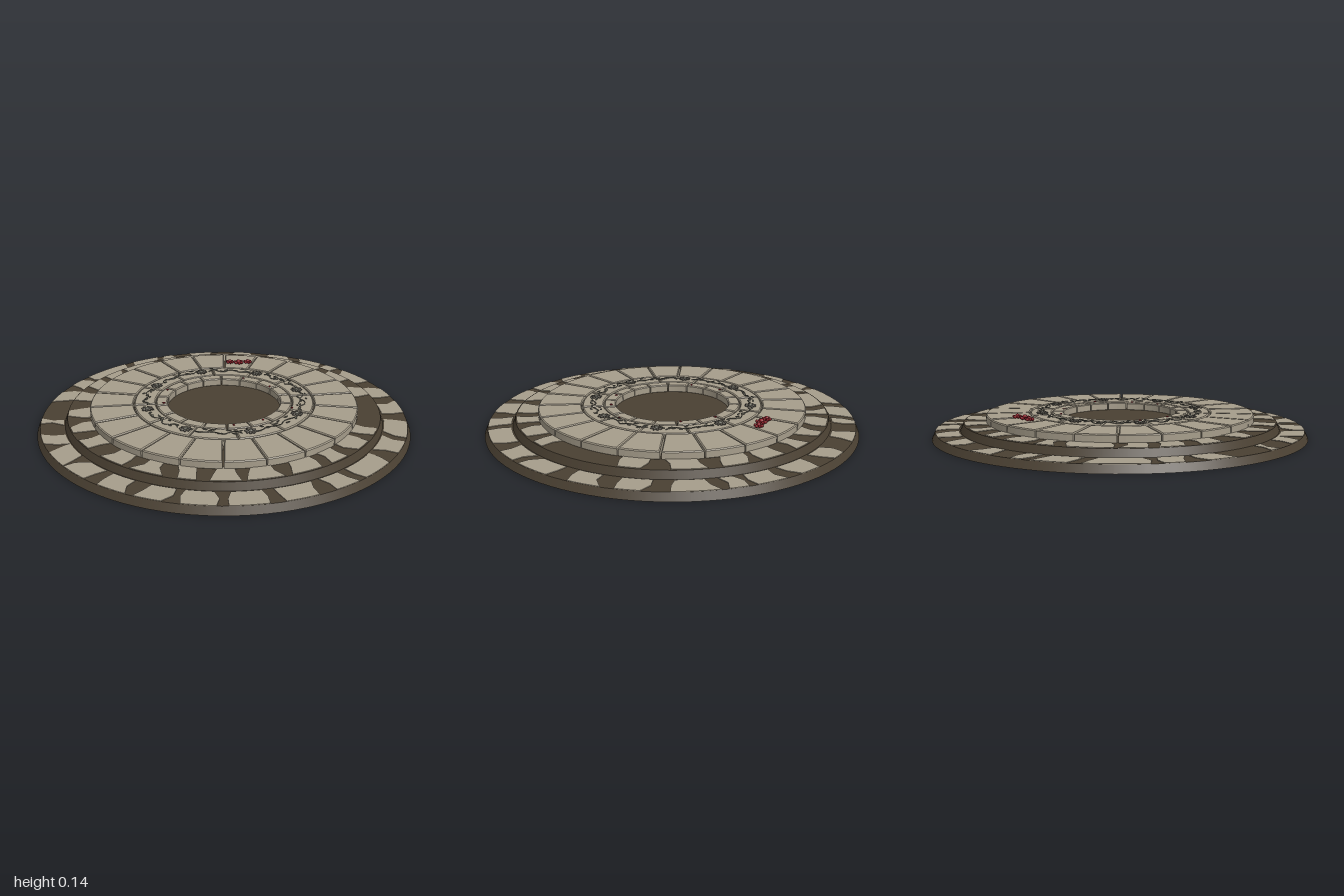
import * as THREE from 'three';

const mat = (name, color) => {
  const m = new THREE.MeshStandardMaterial({ color });
  m.name = name;
  return m;
};
const DEG = Math.PI / 180;

// Small seeded generator for worn, irregular edges
function seeded(seed) {
  let s = seed;
  return () => ((s = (s * 16807) % 2147483647) / 2147483647);
}

// Points of an arc, angles in degrees running from +x towards +z
function arc(r, a0, a1, n = 6) {
  return Array.from({ length: n + 1 }, (_, i) => {
    const a = (a0 + ((a1 - a0) * i) / n) * DEG;
    return new THREE.Vector2(r * Math.cos(a), r * Math.sin(a));
  });
}

// Flat outline in x/z, extruded downward from the height "top"
function slab(points, top, height, bevel = 0) {
  const g = new THREE.ExtrudeGeometry(new THREE.Shape(points), {
    depth: height - 2 * bevel, bevelEnabled: bevel > 0, bevelThickness: bevel,
    bevelSize: bevel, bevelOffset: -bevel, bevelSegments: 1,
  });
  return g.rotateX(Math.PI / 2).translate(0, top - bevel, 0);
}

export function createModel() {
  const root = new THREE.Group();
  root.name = 'roundDais';
  const stone = mat('pale stone', 0xa69d8b);
  const earth = mat('dark earth', 0x4a4032);
  const vine = mat('grey green vine', 0x77766a);
  const knot = mat('dark knot', 0x5f5b53);
  const red = mat('deep red', 0x8a1a24);
  const rnd = seeded(4711);

  const group = (name) => {
    const g = new THREE.Group();
    g.name = name;
    root.add(g);
    return g;
  };
  const add = (parent, name, geo, material) => {
    const m = new THREE.Mesh(geo, material);
    m.name = name;
    parent.add(m);
    return m;
  };

  // Two sloping earth steps
  const step = (name, rTop, rBottom, y0, y1) =>
    add(root, name, new THREE.CylinderGeometry(rTop, rBottom, y1 - y0, 96).translate(0, (y0 + y1) / 2, 0), earth);
  step('lowerStep', 0.982, 1, 0, 0.038);
  step('upperStep', 0.838, 0.853, 0.038, 0.077);

  // Broken paving left on each step: start and end angle of every piece
  const paving = (name, spans, r0, r1, top) => {
    const g = group(name);
    for (const [a, b] of spans) {
      const j = () => (rnd() - 0.5) * 7;
      const s = j(), e = j();
      const mid = (r0 + r1) / 2;
      const outer = arc(r1, a + s * 0.5, b + e * 0.5, 4);
      const inner = arc(r0, a - s * 0.5, b - e * 0.5, 4).reverse();
      const chipB = arc(mid, b + (rnd() - 0.5) * 3, b, 1)[0];
      const chipA = arc(mid, a + (rnd() - 0.5) * 3, a, 1)[0];
      add(g, 'pavingPiece', slab([...outer, chipB, ...inner, chipA], top, 0.005), stone);
    }
  };
  paving('lowerPaving', [
    [1, 12], [19, 27], [32, 41], [47, 58], [61, 71], [76, 89], [92, 100], [104, 115], [119, 129],
    [133, 142], [146, 154], [158, 167], [171, 180], [183, 193], [196, 203], [211, 215], [231, 239],
    [243, 250], [254, 269], [273, 283], [286, 290], [298, 305], [315, 322], [328, 337], [341, 350], [353, 358],
  ], 0.86, 0.981, 0.041);
  paving('upperPaving', [
    [2, 14], [21, 30], [60, 67], [71, 80], [85, 93], [97, 107], [112, 122], [126, 134], [140, 147],
    [152, 161], [166, 175], [182, 191], [196, 203], [210, 218], [226, 235], [240, 248], [252, 260],
    [264, 279], [283, 289], [293, 301], [306, 314], [320, 327], [333, 342], [346, 355],
  ], 0.70, 0.832, 0.08);

  // Rings of bevelled wedge stones
  const ring = (name, count, r0, r1, top, gap, offset) => {
    const g = group(name);
    const w = 360 / count;
    for (let i = 0; i < count; i++) {
      const a = offset + i * w, b = a + w;
      const go = gap / r1 / DEG / 2, gi = gap / r0 / DEG / 2;
      const pts = [...arc(r1, a + go, b - go), ...arc(r0, a + gi, b - gi).reverse()];
      add(g, 'wedgeStone', slab(pts, top - rnd() * 0.002, top - 0.074, 0.005), stone);
    }
  };
  ring('outerStones', 22, 0.488, 0.718, 0.118, 0.007, 0);
  ring('middleStones', 12, 0.37, 0.483, 0.118, 0.006, 2);
  ring('innerCurb', 18, 0.305, 0.366, 0.118, 0.006, 8);

  // Leafy vines between eight knots
  const leafGeo = new THREE.SphereGeometry(1, 6, 4).scale(0.015, 0.003, 0.006);
  const vines = group('vineGarland');
  const knots = group('garlandKnots');
  for (let k = 0; k < 8; k++) {
    const c = 22.5 + k * 45;
    const at = (deg, r, y) => new THREE.Vector3(r * Math.cos(deg * DEG), y, r * Math.sin(deg * DEG));
    const path = Array.from({ length: 9 }, (_, i) =>
      at(c + 6 + i * 4.1, 0.425 + 0.014 * Math.sin(i * 1.7 + k), 0.121 + 0.004 * Math.sin(i * 2)));
    add(vines, 'stem', new THREE.TubeGeometry(new THREE.CatmullRomCurve3(path), 24, 0.0025, 5), vine);
    for (let i = 0; i < 9; i++) {
      const d = c + 7 + i * 4 + rnd() * 2;
      const leaf = add(vines, 'leaf', leafGeo, vine);
      leaf.position.copy(at(d, 0.425 + (rnd() - 0.5) * 0.05, 0.124 + rnd() * 0.006));
      leaf.rotation.set(0, -(d + 90) * DEG + (rnd() - 0.5) * 1.2, (rnd() - 0.5) * 0.5);
    }
    const rosette = new THREE.Group();
    rosette.name = 'rosette';
    rosette.position.copy(at(c, 0.425, 0.122));
    knots.add(rosette);
    add(rosette, 'rosetteCentre', new THREE.SphereGeometry(0.012, 8, 6).scale(1, 0.8, 1), vine);
    for (let p = 0; p < 8; p++) {
      const petal = add(rosette, 'rosettePetal', new THREE.SphereGeometry(1, 6, 4).scale(0.013, 0.006, 0.008), knot);
      petal.position.set(0.02 * Math.cos(p * 45 * DEG), 0, 0.02 * Math.sin(p * 45 * DEG));
      petal.rotation.y = -p * 45 * DEG;
    }
  }

  // Three red blossoms on the outer stones
  const blossoms = group('blossoms');
  for (const [x, z, r] of [[0.395, -0.405, 0.024], [0.43, -0.365, 0.03], [0.478, -0.335, 0.025]]) {
    const b = new THREE.Group();
    b.name = 'blossom';
    b.position.set(x, 0.122, z);
    blossoms.add(b);
    add(b, 'blossomHeart', new THREE.SphereGeometry(r * 0.45, 8, 6).translate(0, 0.008, 0), red);
    for (let p = 0; p < 6; p++) {
      const petal = add(b, 'petal', new THREE.SphereGeometry(1, 7, 5).scale(r * 0.42, 0.008, r * 0.3), red);
      petal.position.set(r * 0.65 * Math.cos(p * 60 * DEG), 0.004, r * 0.65 * Math.sin(p * 60 * DEG));
      petal.rotation.set(0, -p * 60 * DEG, 0.35);
    }
  }

  // Fallen petals on the curb
  const fallen = group('fallenPetals');
  for (const [x, z] of [[0.318, 0.025], [0.2, 0.32], [-0.02, 0.33], [-0.175, 0.28], [-0.15, -0.31], [-0.275, -0.175], [0.29, -0.165]]) {
    const p = add(fallen, 'fallenPetal', new THREE.SphereGeometry(1, 6, 4).scale(0.009, 0.003, 0.006), red);
    p.position.set(x, 0.119, z);
    p.rotation.y = rnd() * 3;
  }
  return root;
}
